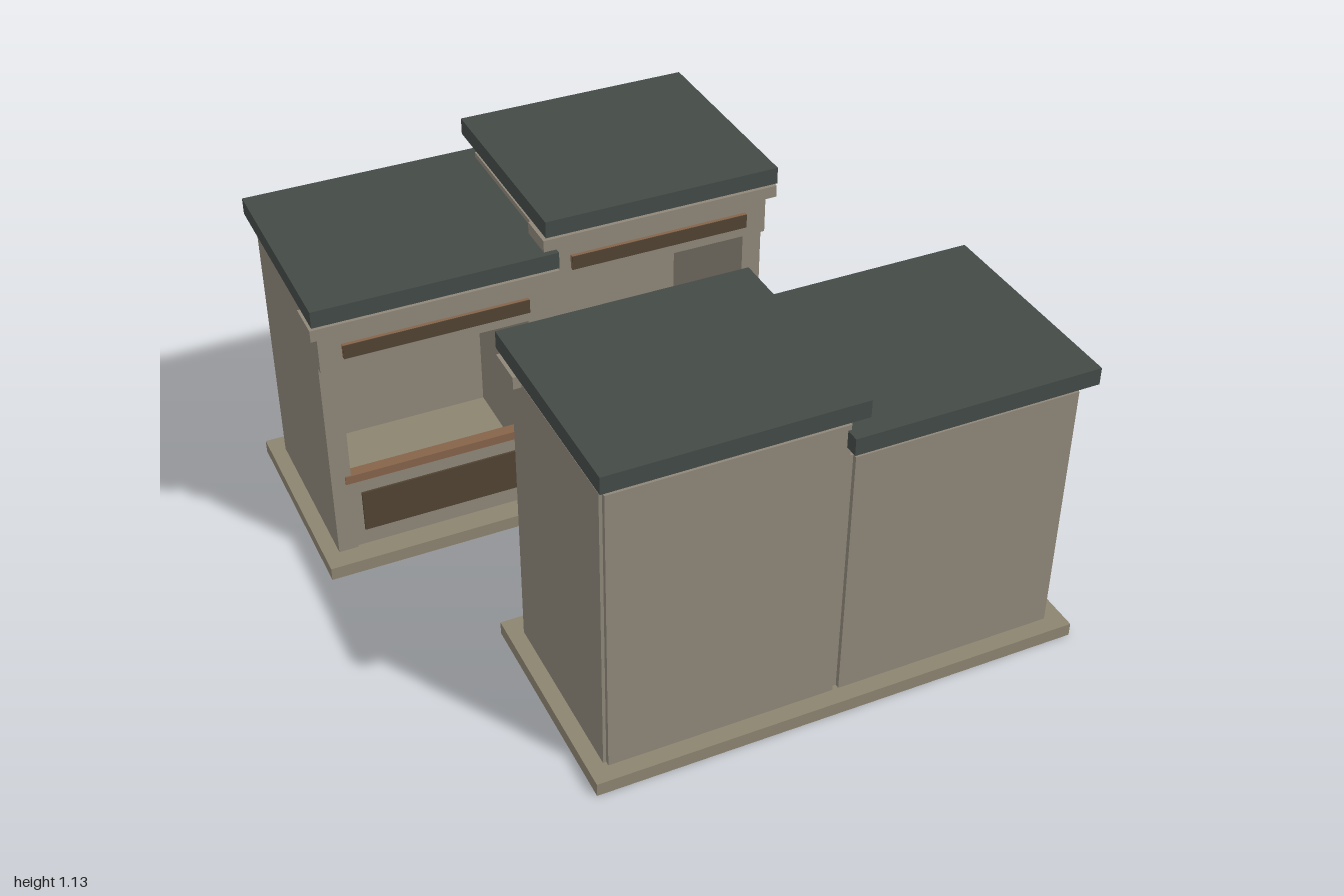
import * as THREE from 'three';

const mat = (name, color) => {
  const m = new THREE.MeshStandardMaterial({ color });
  m.name = name;
  return m;
};

export function createModel() {
  const wall = mat('wall plaster', 0x8e8678);
  const stone = mat('base stone', 0x8c8470);
  const slate = mat('roof slate', 0x434a46);
  const wood = mat('sill wood', 0x86634a);
  const dark = mat('dark wood', 0x504231);

  // Box given by its low and high limits on each axis
  const box = (parent, name, material, x0, x1, y0, y1, z0, z1) => {
    const mesh = new THREE.Mesh(new THREE.BoxGeometry(x1 - x0, y1 - y0, z1 - z0), material);
    mesh.position.set((x0 + x1) / 2, (y0 + y1) / 2, (z0 + z1) / 2);
    mesh.name = name;
    parent.add(mesh);
  };

  // Hollow shop with an open window facing +z; lift is the extra height
  const shop = (name, cx, lift) => {
    const g = new THREE.Group();
    g.name = name;
    g.position.x = cx;
    const y0 = 0.045, top = 0.915 + lift, lintel = 0.77 + lift;
    box(g, 'backWall', wall, -0.365, 0.365, y0, top, -0.92, -0.9);
    for (const s of [-1, 1]) {
      const span = (a, b) => (s > 0 ? [a, b] : [-b, -a]);
      box(g, 'sideWall', wall, ...span(0.353, 0.375), y0, top, -0.905, -0.325);
      box(g, 'pilaster', wall, ...span(0.31, 0.375), y0, top, -0.325, -0.3);
    }
    // Shopfront below the window
    box(g, 'stallRiser', wall, -0.31, 0.31, y0, 0.31, -0.335, -0.308);
    box(g, 'riserPanel', dark, -0.28, 0.28, 0.105, 0.255, -0.308, -0.301);
    box(g, 'windowSill', wood, -0.33, 0.33, 0.31, 0.34, -0.335, -0.295);
    // Fascia, sign board and cornice above it
    box(g, 'fascia', wall, -0.375, 0.375, lintel, 0.905 + lift, -0.325, -0.275);
    box(g, 'signBoard', wood, -0.302, 0.302, 0.81 + lift, 0.857 + lift, -0.275, -0.263);
    box(g, 'signFace', dark, -0.302, 0.302, 0.81 + lift, 0.857 + lift, -0.263, -0.26);
    box(g, 'cornice', wall, -0.4, 0.4, 0.905 + lift, 0.945 + lift, -0.375, -0.25);
    // Flat roof raised just clear of the walls
    box(g, 'roof', slate, -0.396, 0.396, 0.96 + lift, 1.016 + lift, -0.963, -0.24);
    return g;
  };

  // A row of two shops on one plinth
  const row = (name) => {
    const g = new THREE.Group();
    g.name = name;
    box(g, 'plinth', stone, -1, 0.6, 0, 0.045, -0.975, -0.23);
    g.add(shop('lowShop', -0.575, 0), shop('tallShop', 0.175, 0.118));
    return g;
  };

  // Two rows facing each other across a lane
  const model = new THREE.Group();
  model.name = 'shopRows';
  const back = row('backRow');
  const front = row('frontRow');
  front.rotation.y = Math.PI;
  model.add(back, front);
  return model;
}
